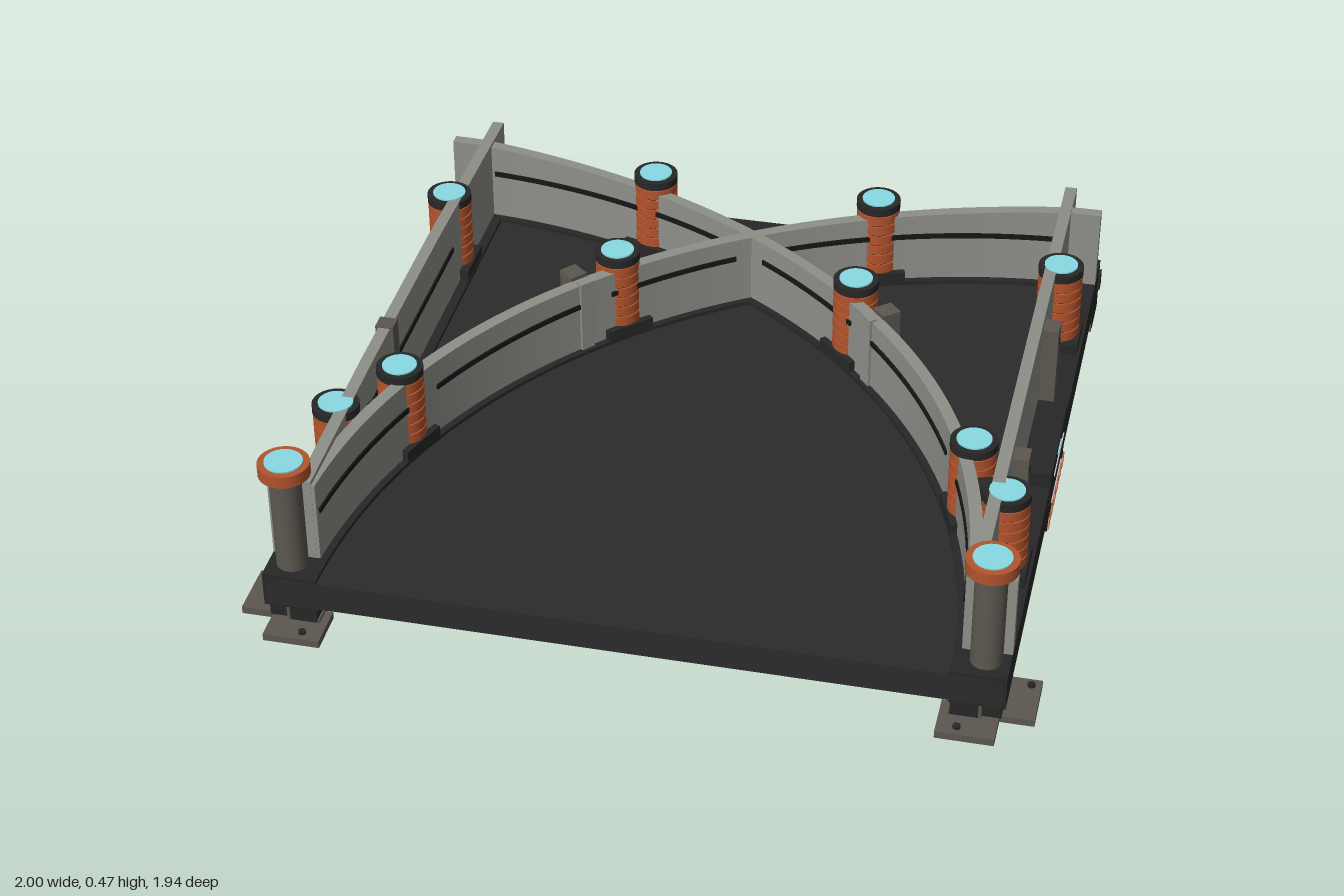
import * as THREE from 'three';

const mat = (name, color) => Object.assign(new THREE.MeshStandardMaterial({ color }), { name });

export function createModel() {
  const model = new THREE.Group();
  model.name = 'archTrackBase';
  const floorMat = mat('floor charcoal', 0x2b2b2b);
  const frame = mat('frame black', 0x272727);
  const black = mat('groove black', 0x161616);
  const wall = mat('wall grey', 0x8f8f8a);
  const steel = mat('bracket brown grey', 0x5c5850);
  const orange = mat('spring orange', 0xb4532c);
  const cyan = mat('lamp cyan', 0x88dae4);
  const pale = mat('trim pale', 0xc8c8c8);

  const add = (name, geo, material, parent = model) => {
    const mesh = new THREE.Mesh(geo, material);
    mesh.name = name;
    parent.add(mesh);
    return mesh;
  };
  // box from its limits on each axis
  const box = (name, m, x0, x1, y0, y1, z0, z1, parent) => {
    const geo = new THREE.BoxGeometry(Math.abs(x1 - x0), y1 - y0, Math.abs(z1 - z0));
    geo.translate((x0 + x1) / 2, (y0 + y1) / 2, (z0 + z1) / 2);
    return add(name, geo, m, parent);
  };
  const cyl = (name, m, r, y0, y1, parent, n = 28) => {
    const geo = new THREE.CylinderGeometry(r, r, y1 - y0, n);
    geo.translate(0, (y0 + y1) / 2, 0);
    return add(name, geo, m, parent);
  };

  // quarter arcs centred on the front corners; s = -1 is the mirror of s = 1
  const CX = 0.93, CZ = 0.9, R = 1.755;
  const arcBand = (s, r0, r1, y0, y1, t0 = 0, t1 = Math.PI / 2) => {
    const a = s > 0 ? t0 : Math.PI - t1, b = s > 0 ? t1 : Math.PI - t0;
    const shape = new THREE.Shape();
    shape.absarc(-s * CX, -CZ, r1, a, b, false);
    shape.absarc(-s * CX, -CZ, r0, b, a, true);
    const geo = new THREE.ExtrudeGeometry(shape, { depth: y1 - y0, bevelEnabled: false, curveSegments: 64 });
    return geo.rotateX(-Math.PI / 2).translate(0, y0, 0);
  };
  // group standing on an arc, its own +x pointing outward
  const onArc = (name, s, r, t) => {
    const g = new THREE.Group();
    g.name = name;
    g.position.set(s * (-CX + r * Math.cos(t)), 0, CZ - r * Math.sin(t));
    g.rotation.y = s > 0 ? t : Math.PI - t;
    model.add(g);
    return g;
  };

  // floor slab and back rim
  box('floorSlab', floorMat, -0.92, 0.92, 0.066, 0.145, -0.965, 0.9);
  box('backRim', frame, -0.93, 0.93, 0.06, 0.15, -0.97, -0.93);

  // a sprung bumper with a lamp on top, filled into a placed group
  const bumper = (g, housing) => {
    box('bumperFoot', frame, -0.065, 0.065, 0.15, 0.185, -0.07, 0.07, g);
    cyl('springCore', black, 0.055, 0.18, 0.375, g);
    for (let i = 0; i < 6; i++) cyl('springCoil', orange, 0.06, 0.185 + i * 0.0313, 0.212 + i * 0.0313, g);
    cyl('bumperCap', frame, 0.061, 0.372, 0.395, g);
    cyl('lamp', cyan, 0.045, 0.395, 0.399, g);
    if (housing) {
      box('housing', frame, -0.01, 0.035, 0.2, 0.32, housing * 0.06, housing * 0.1, g);
      box('housingPlate', steel, 0.035, 0.042, 0.22, 0.3, housing * 0.065, housing * 0.095, g);
    }
  };

  for (const s of [1, -1]) {
    // curved track: sill, beam below the floor, and wall that dips towards the crossing
    add('arcSill', arcBand(s, 1.72, 1.82, 0.06, 0.155), frame);
    add('arcBeam', arcBand(s, 1.725, 1.795, 0.012, 0.06), frame);
    add('beamInnerStrip', arcBand(s, 1.72, 1.725, 0.008, 0.03), steel);
    add('beamOuterPlate', arcBand(s, 1.795, 1.803, 0.008, 0.06), steel);
    const wallGeo = arcBand(s, R - 0.016, R + 0.016, 0.155, 0.35, 0.052);
    const p = wallGeo.attributes.position;
    for (let i = 0; i < p.count; i++) {
      if (p.getY(i) > 0.3) p.setY(i, 0.352 + 0.03 * Math.min(1, (p.getX(i) / 0.85) ** 2));
    }
    add('arcWall', wallGeo, wall);
    for (const [t0, t1] of [[0.06, 0.33], [0.4, 0.7], [0.76, 0.98], [1.06, 1.5]]) {
      add('innerGroove', arcBand(s, R - 0.021, R - 0.016, 0.287, 0.301, t0, t1), black);
    }
    for (const [t, h] of [[0.35, 1], [0.788, 0], [1.221, -1]]) bumper(onArc('bumper', s, 1.785, t), s * h);
    // long low box outside the arc
    box('sideBox', frame, -0.025, 0.025, 0.14, 0.215, -0.075, 0.075, onArc('arcSideBox', s, 1.825, 0.434));
    // clamp gripping the arc wall
    const clamp = onArc('arcClamp', s, R, 0.712);
    box('clampPost', steel, 0.014, 0.068, 0.15, 0.37, -0.025, 0.025, clamp);
    box('clampInner', wall, -0.024, 0, 0.155, 0.365, -0.02, 0.02, clamp);
    // small brackets on the beam
    for (const t of [0.6, 0.9, 1.2, 1.45]) {
      box('beamBracket', steel, 0, 0.025, 0.03, 0.06, -0.02, 0.02, onArc('beamBracketGroup', s, 1.8, t));
    }

    // straight side rail and wall
    box('sideRail', frame, s * 0.79, s * 0.93, 0.06, 0.155, -0.97, 0.9);
    box('lowerRail', frame, s * 0.82, s * 0.9, 0.008, 0.06, -0.85, 0.58);
    box('rearFoot', frame, s * 0.83, s * 0.93, 0, 0.06, -0.97, -0.85);
    box('rearLatch', frame, s * 0.89, s * 0.937, 0.08, 0.13, -0.96, -0.93);
    const profile = new THREE.Shape([[-0.81, 0.155], [0.97, 0.155], [0.97, 0.383], [0.3, 0.403], [-0.3, 0.403], [-0.81, 0.39]]
      .map(([a, b]) => new THREE.Vector2(a, b)));
    const sideGeo = new THREE.ExtrudeGeometry(profile, { depth: 0.032, bevelEnabled: false });
    sideGeo.rotateY(Math.PI / 2).translate(s * 0.832 - 0.016, 0, 0);
    add('sideWall', sideGeo, wall);
    box('wallFin', wall, s * 0.83, s * 0.93, 0.155, 0.38, 0.78, 0.808);
    box('sideGroove', black, s * 0.811, s * 0.816, 0.287, 0.301, -0.42, 0.36);
    for (const z of [-0.55, 0.48]) {
      const g = new THREE.Group();
      g.name = 'sideBumper';
      g.position.set(s * 0.857, 0, z);
      model.add(g);
      bumper(g, 0);
    }
    for (const [z0, z1] of [[0.57, 0.75], [-0.72, -0.48]]) {
      box('undersideBox', steel, s * 0.84, s * 0.915, 0.018, 0.055, z0, z1);
    }

    // corner post with orange cap
    const post = new THREE.Group();
    post.name = 'cornerPost';
    post.position.set(s * 0.87, 0, 0.838);
    model.add(post);
    cyl('postShaft', steel, 0.04, 0.15, 0.43, post);
    cyl('postCollar', orange, 0.05, 0.42, 0.435, post);
    cyl('postCap', orange, 0.065, 0.432, 0.465, post);
    cyl('postLamp', cyan, 0.048, 0.465, 0.469, post);

    // mounting feet with bolts
    box('sideFoot', steel, s * 0.9, s * 1.0, 0.002, 0.022, 0.73, 0.88);
    box('frontFoot', steel, s * 0.77, s * 0.915, 0.002, 0.022, 0.85, 0.97);
    box('footRiser', frame, s * 0.8, s * 0.92, 0.02, 0.06, 0.74, 0.89);
    for (const [x, z] of [[0.975, 0.755], [0.82, 0.945]]) {
      cyl('footBolt', frame, 0.01, 0.02, 0.03, model, 8).position.set(s * x, 0, z);
    }
  }

  // clamps on the walls
  for (const z of [0.3, -0.28]) {
    box('wallClamp', steel, 0.845, 0.89, 0.155, 0.378, z - 0.027, z + 0.027);
    box('lowerClamp', steel, 0.89, 0.925, 0.02, 0.058, z - 0.027, z + 0.027);
    for (const [x, y] of [[0.892, 0.335], [0.927, 0.04]]) {
      box('clampBolt', black, x - 0.004, x, y - 0.007, y + 0.007, z - 0.007, z + 0.007);
    }
  }
  box('leftInnerClamp', steel, -0.856, -0.808, 0.155, 0.407, 0.1, 0.145);

  // control panel with hazard strip
  box('controlPanel', frame, 0.865, 0.932, 0.1, 0.197, -0.19, 0.13);
  box('panelTrim', pale, 0.93, 0.935, 0.146, 0.152, -0.125, 0.065);
  box('panelLight', cyan, 0.932, 0.936, 0.17, 0.178, -0.06, 0);
  box('lowerTrim', pale, 0.929, 0.933, 0.06, 0.065, -0.125, 0.065);
  box('hazardPlate', black, 0.88, 0.93, 0.014, 0.06, -0.19, 0.13);
  for (let i = 0; i < 6; i++) {
    const a = -0.125 + i * 0.054;
    const stripe = new THREE.Shape([[a, 0.016], [a + 0.028, 0.016], [a + 0.048, 0.04], [a + 0.02, 0.04]]
      .map(([u, v]) => new THREE.Vector2(u, v)));
    const geo = new THREE.ExtrudeGeometry(stripe, { depth: 0.004, bevelEnabled: false });
    add('hazardStripe', geo.rotateY(Math.PI / 2).translate(0.93, 0, 0), orange);
  }
  return model;
}
